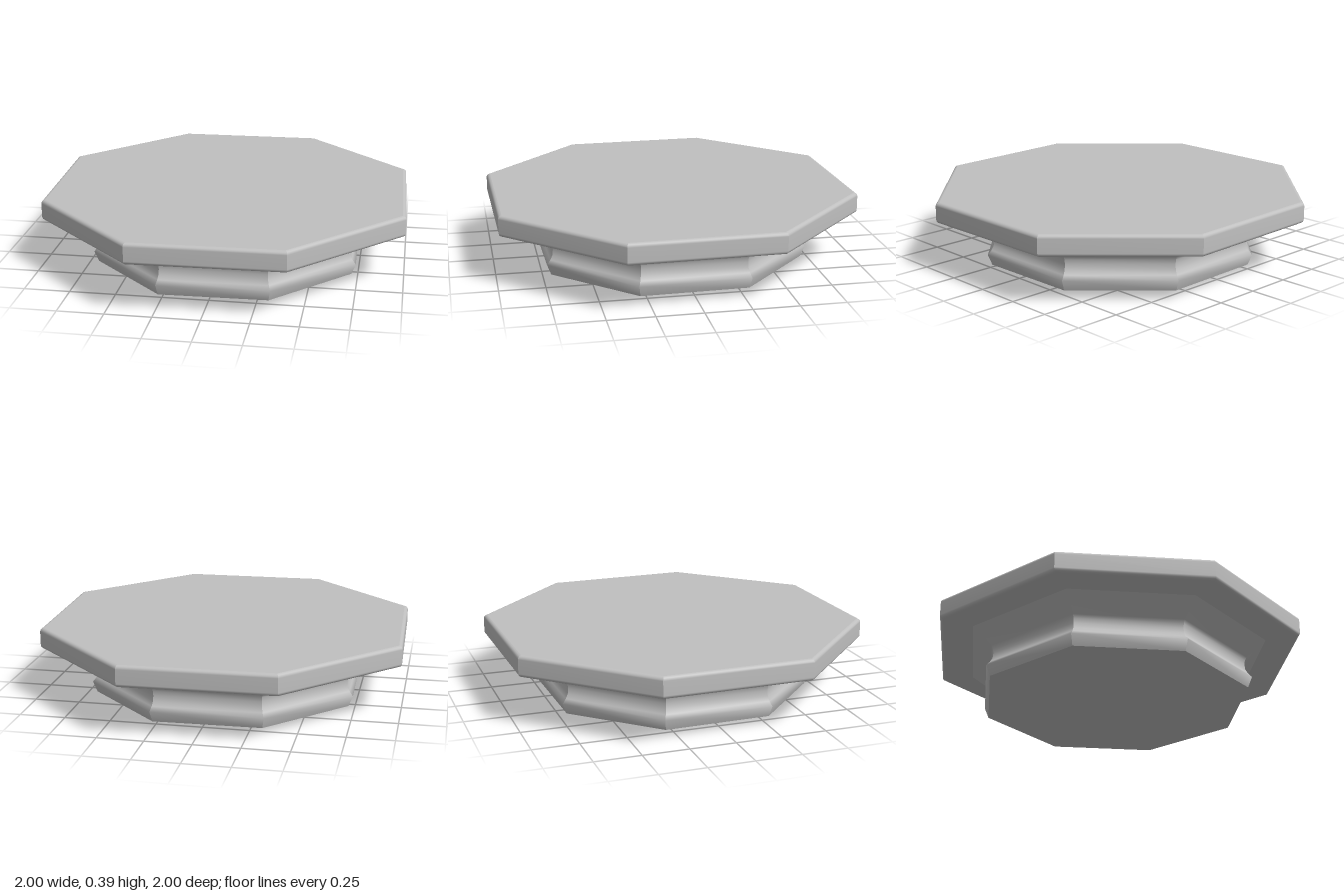
import * as THREE from 'three';
import { mergeGeometries } from 'three/addons/utils/BufferGeometryUtils.js';

const SIDES = 8;
const STEP = (Math.PI * 2) / SIDES;
const TURN = THREE.MathUtils.degToRad(23.7); // the octagon is twisted slightly off square
const CORNER = 1 / Math.cos(THREE.MathUtils.degToRad(21.3)); // widest x to corner radius

// Eight panels, smooth along the profile and sharp at the corners
function octagonalWall(profile) {
  const points = profile.map(([x, y]) => new THREE.Vector2(x * CORNER, y));
  const panels = [];
  for (let i = 0; i < SIDES; i++) {
    const panel = new THREE.LatheGeometry(points, 1, TURN + i * STEP, STEP);
    panel.computeVertexNormals();
    panels.push(panel);
  }
  return mergeGeometries(panels);
}

// Flat octagon closing a wall at the top or the bottom
function octagonalCap(x, y, up) {
  const cap = new THREE.CircleGeometry(x * CORNER, SIDES, TURN - Math.PI / 2);
  cap.rotateX(-Math.PI / 2); // faces up
  // corners run from +x towards -z, so line them up with the wall panels
  if (!up) {
    const index = cap.index;
    for (let i = 0; i < index.count; i += 3) {
      const a = index.getX(i);
      index.setX(i, index.getX(i + 1));
      index.setX(i + 1, a);
    }
    cap.computeVertexNormals();
  }
  return cap.translate(0, y, 0);
}

export function createModel() {
  const group = new THREE.Group();
  const stone = new THREE.MeshStandardMaterial({ color: 0xc0c0c0 });
  stone.name = 'light grey stone';

  const add = (name, geometry) => {
    const mesh = new THREE.Mesh(geometry, stone);
    mesh.name = name;
    group.add(mesh);
  };

  // Top slab with rounded upper and lower edges
  const low = 0.275, high = 0.392, r = 0.02;
  const slab = [];
  for (let i = 0; i <= 4; i++) {
    const a = (i / 4 - 1) * Math.PI / 2;
    slab.push([1 - r + r * Math.cos(a), low + r + r * Math.sin(a)]);
  }
  for (let i = 0; i <= 4; i++) {
    const a = (i / 4) * Math.PI / 2;
    slab.push([1 - r + r * Math.cos(a), high - r + r * Math.sin(a)]);
  }
  add('slabEdge', octagonalWall(slab));
  add('slabTop', octagonalCap(1 - r, high, true));
  add('slabUnderside', octagonalCap(1 - r, low, false));

  // Moulded base: small foot, hollow waist and flare up to the slab
  const base = [
    [0.715, 0], [0.738, 0.06], [0.718, 0.085], [0.705, 0.11],
    [0.702, 0.14], [0.705, 0.165], [0.715, 0.185], [0.82, 0.276],
  ];
  add('baseMoulding', octagonalWall(base));
  add('baseBottom', octagonalCap(0.715, 0, false));

  return group;
}
